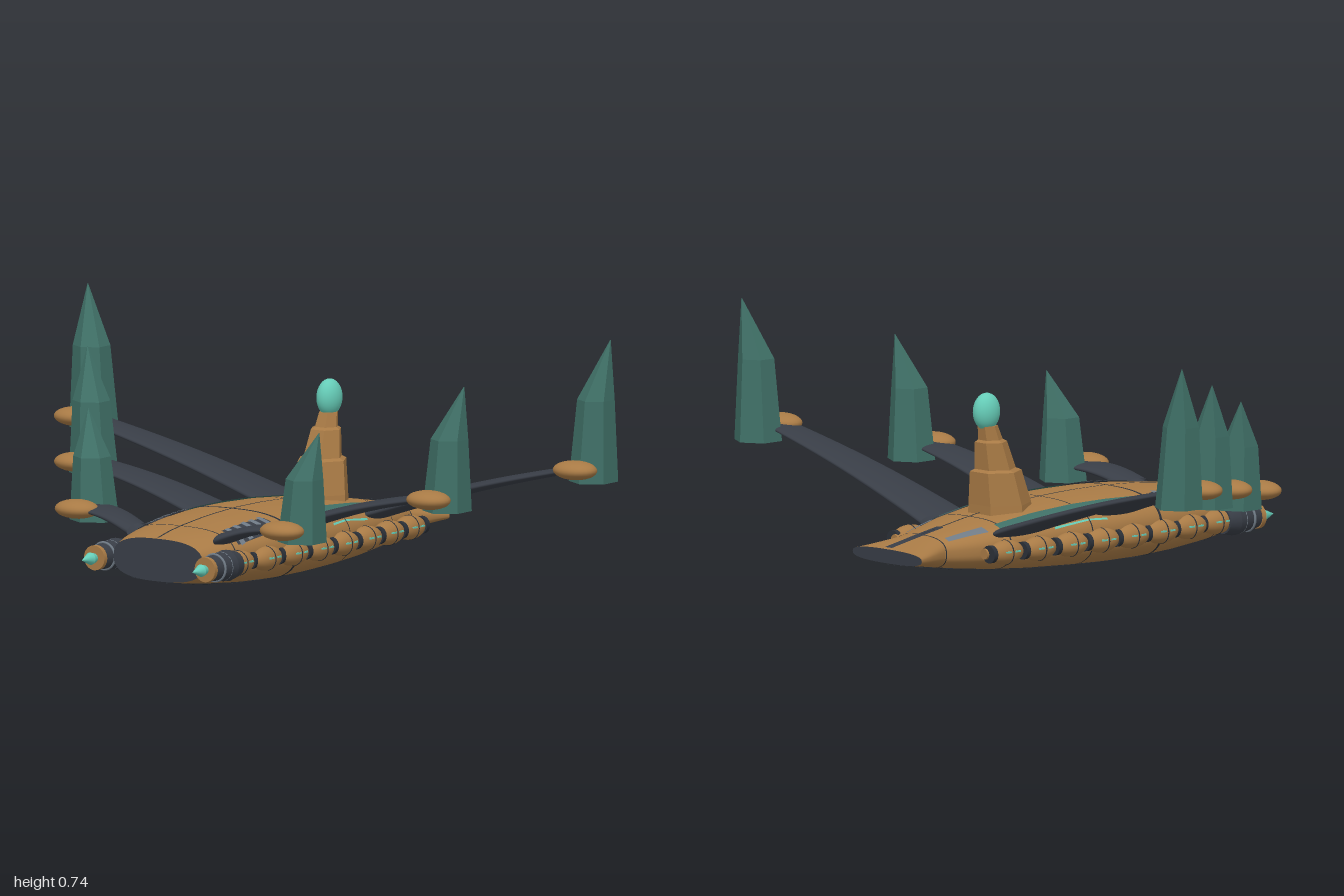
import * as THREE from 'three';
import { mergeVertices } from 'three/addons/utils/BufferGeometryUtils.js';

const TAU = Math.PI * 2;
const lerp = THREE.MathUtils.lerp;

// Hull stations: z, half width, bottom, top
const STATIONS = [
  [0.595, 0.165, 0.036, 0.166], [0.54, 0.185, 0.027, 0.178], [0.475, 0.2, 0.019, 0.188],
  [0.34, 0.222, 0.007, 0.202], [0.2, 0.236, 0.001, 0.209], [0.06, 0.238, 0.001, 0.209],
  [-0.07, 0.233, 0.005, 0.204], [-0.22, 0.212, 0.011, 0.192], [-0.36, 0.183, 0.021, 0.173],
  [-0.47, 0.146, 0.033, 0.154], [-0.56, 0.108, 0.045, 0.138], [-0.7, 0.152, 0.068, 0.111],
];
const POWER = 2.7;

function station(z) {
  let i = 0;
  while (i < STATIONS.length - 2 && z < STATIONS[i + 1][0]) i++;
  const a = STATIONS[i], b = STATIONS[i + 1];
  const t = (z - a[0]) / (b[0] - a[0]);
  const [w, lo, hi] = [1, 2, 3].map(k => lerp(a[k], b[k], t));
  return { w, c: (lo + hi) / 2, h: (hi - lo) / 2 };
}

function hullPoint(z, a, off = 0) {
  const { w, c, h } = station(z);
  const p = v => Math.sign(v) * Math.abs(v) ** (2 / POWER);
  return [(w + off) * p(Math.cos(a)), c + (h + off) * p(Math.sin(a)), z];
}

function hullHeight(x, z, sign) {
  const { w, c, h } = station(z);
  return c + sign * (h * (1 - Math.min(1, Math.abs(x) / w) ** POWER) ** (1 / POWER) + 0.004);
}

// Surface from a rule f(u, v), both 0..1
function grid(f, nu, nv, flat = false) {
  const pos = [], idx = [];
  for (let i = 0; i <= nu; i++) for (let j = 0; j <= nv; j++) pos.push(...f(i / nu, j / nv));
  for (let i = 0; i < nu; i++) for (let j = 0; j < nv; j++) {
    const a = i * (nv + 1) + j, b = a + nv + 1;
    idx.push(a, b, a + 1, b, b + 1, a + 1);
  }
  let g = new THREE.BufferGeometry();
  g.setAttribute('position', new THREE.Float32BufferAttribute(pos, 3));
  g.setIndex(idx);
  g = flat ? g.toNonIndexed() : mergeVertices(g, 1e-5);
  g.computeVertexNormals();
  return g;
}

// Six-sided faceted loft through rings [x, y, z, radius]
function hexLoft(rings, phase) {
  return grid((u, v) => {
    const [x, y, z, r] = rings[Math.round(u * (rings.length - 1))];
    const a = phase + v * TAU;
    return [x - r * Math.sin(a), y, z + r * Math.cos(a)];
  }, rings.length - 1, 6, true);
}

// Thin strip lying on the hull between two x edges that vary along z
function strip(z0, z1, xa0, xb0, xa1 = xa0, xb1 = xb0, sign = 1) {
  return grid((u, v) => {
    const z = lerp(z0, z1, u), x = lerp(lerp(xa0, xa1, u), lerp(xb0, xb1, u), v);
    return [x, hullHeight(x, z, sign), z];
  }, 20, 4);
}

function mirrored(geo) {
  const g = geo.index ? geo.toNonIndexed() : geo.clone();
  g.scale(-1, 1, 1);
  for (const name of ['position', 'normal']) {
    const arr = g.attributes[name].array;
    for (let i = 0; i < arr.length; i += 9)
      for (let k = 0; k < 3; k++) [arr[i + 3 + k], arr[i + 6 + k]] = [arr[i + 6 + k], arr[i + 3 + k]];
  }
  return g;
}

const ellipsoid = (x, y, z, rx, ry, rz) =>
  new THREE.SphereGeometry(1, 24, 16).scale(rx, ry, rz).translate(x, y, z);
// Cylinder along z
const barrel = (x, y, zBack, zFront, rBack, rFront) =>
  new THREE.CylinderGeometry(rFront, rBack, zFront - zBack, 20)
    .rotateX(Math.PI / 2).translate(x, y, (zBack + zFront) / 2);

export function createModel() {
  const root = new THREE.Group();
  root.name = 'airship';
  const mat = (name, color, side = THREE.DoubleSide) => {
    const m = new THREE.MeshStandardMaterial({ color, side });
    m.name = name;
    return m;
  };
  const bronze = mat('bronze', 0xa87a45, THREE.FrontSide);
  const dark = mat('dark slate', 0x383d46);
  const seam = mat('seam', 0x2b3038);
  const green = mat('deep green', 0x3f6f66);
  const grey = mat('grey', 0x6f7a85);
  const glow = mat('turquoise', 0x66cdb8);

  const add = (name, geo, material) => {
    const m = new THREE.Mesh(geo, material);
    m.name = name;
    root.add(m);
  };
  const pair = (name, geo, material) => {
    add(name + 'Left', geo, material);
    add(name + 'Right', mirrored(geo), material);
  };

  // Hull, flared tail and flat ends
  const shell = (z0, z1, n) => grid((u, v) => hullPoint(lerp(z0, z1, u), v * TAU), n, 64);
  add('hull', shell(0.595, -0.56, 40), bronze);
  add('tail', shell(-0.56, -0.7, 4), bronze);
  for (const [name, z] of [['frontFace', 0.595], ['tailFace', -0.7]]) {
    const pts = Array.from({ length: 64 }, (_, i) => new THREE.Vector2(...hullPoint(z, i / 64 * TAU)));
    add(name, new THREE.ShapeGeometry(new THREE.Shape(pts)).translate(0, 0, z), dark);
  }

  // Panel seams
  for (const [z, w] of [[0.475, 0.002], [0.21, 0.005], [-0.07, 0.002], [-0.36, 0.002], [-0.56, 0.002]])
    add('ringSeam', grid((u, v) => hullPoint(z + w * (1 - 2 * u), v * TAU, 0.003), 1, 64), seam);
  add('topSeam', strip(0.595, -0.56, -0.003, 0.003), seam);
  add('keelSeam', strip(0.595, -0.7, -0.003, 0.003, -0.003, 0.003, -1), seam);
  pair('bellySeam', strip(0.59, -0.56, 0.098, 0.103, 0.058, 0.062, -1), seam);

  // Painted deck details
  add('tailStripe', strip(-0.48, -0.695, -0.015, 0.015), dark);
  pair('deckStripe', strip(0.18, -0.37, 0.155, 0.208, 0.118, 0.152), green);
  pair('rearWindow', strip(-0.41, -0.54, 0.105, 0.138, 0.082, 0.1), grey);
  pair('sideLight', strip(0.0, -0.2, 0.222, 0.226, 0.204, 0.208), glow);
  pair('vent', strip(0.45, 0.25, 0.13, 0.195, 0.14, 0.212), dark);
  for (let i = 0; i < 5; i++) {
    const z = 0.43 - i * 0.04;
    pair('ventBar', strip(z + 0.01, z - 0.01, 0.134, 0.2).translate(0, 0.003, 0), grey);
  }

  // Side pods with seams and lights
  const podX = z => 0.2 + 0.033 * (1 - (z / 0.5) ** 2);
  for (let i = 0; i < 8; i++) {
    const z = 0.466 - i * 0.125, x = podX(z);
    pair('pod', ellipsoid(x, 0.095, z, 0.037, 0.037, 0.066), bronze);
    pair('podSeam', new THREE.TorusGeometry(0.036, 0.0025, 6, 28).translate(x, 0.095, z), seam);
    pair('podCollar', barrel(x, 0.095, z - 0.07, z - 0.055, 0.027, 0.027), seam);
    for (const d of [-0.018, 0.018])
      pair('podLight', new THREE.BoxGeometry(0.005, 0.005, 0.02).translate(x + 0.035, 0.1, z + d), glow);
  }

  // Front thrusters and small tail nozzles
  pair('thrusterCollar', barrel(0.205, 0.095, 0.49, 0.53, 0.04, 0.048), dark);
  pair('thrusterBody', barrel(0.205, 0.095, 0.53, 0.625, 0.048, 0.035), dark);
  for (const z of [0.555, 0.59])
    pair('thrusterRing', new THREE.TorusGeometry(0.041, 0.004, 8, 24).translate(0.205, 0.095, z), grey);
  pair('thrusterRim', barrel(0.205, 0.095, 0.625, 0.64, 0.038, 0.038), bronze);
  pair('thrusterCone', barrel(0.205, 0.095, 0.64, 0.66, 0.014, 0.019), glow);
  pair('thrusterTip', barrel(0.205, 0.095, 0.66, 0.702, 0.019, 0.001), glow);
  pair('tailNozzle', barrel(0.197, 0.095, -0.485, -0.4, 0.016, 0.03), bronze);

  // Arms, joints and spires; chords are [centre z, half length]
  const arms = [
    { from: [0.16, 0.165], to: [0.37, 0.21], chord0: [0.48, 0.055], chord1: [0.435, 0.072],
      joint: [0.38, 0.21, 0.485], base: [0.385, 0.165, 0.388], top: 0.497 },
    { from: [0.17, 0.165], to: [0.65, 0.285], chord0: [0.063, 0.103], chord1: [0.065, 0.06],
      joint: [0.653, 0.282, 0.108], base: [0.655, 0.238, 0.015], top: 0.616 },
    { from: [0.16, 0.145], to: [0.92, 0.352], chord0: [-0.31, 0.104], chord1: [-0.295, 0.052],
      joint: [0.925, 0.35, -0.27], base: [0.926, 0.305, -0.364], top: 0.736 },
  ];
  for (const { from, to, chord0, chord1, joint, base, top } of arms) {
    pair('arm', grid((u, v) => {
      const a = v * TAU, bow = 0.012 * Math.sin(u * Math.PI);
      return [
        lerp(from[0], to[0], u),
        lerp(from[1], to[1], u) + bow + lerp(0.02, 0.011, u) * Math.sin(a),
        lerp(chord0[0], chord1[0], u) + lerp(chord0[1], chord1[1], u) * Math.cos(a),
      ];
    }, 12, 24), dark);
    pair('armJoint', ellipsoid(...joint, 0.072, 0.029, 0.057), bronze);
    const [x, y, z] = base;
    pair('spire', hexLoft([
      [x, y, z, 0], [x, y, z, 0.075], [x + 0.009, lerp(y, top, 0.58), z, 0.057],
      [x + 0.043, top, z - 0.028, 0.001],
    ], 0), green);
  }

  // Stepped tower leaning back, with a glowing egg on top
  add('tower', hexLoft([
    [0, 0.17, -0.233, 0.1], [0, 0.205, -0.235, 0.097], [0, 0.305, -0.252, 0.08], [0, 0.312, -0.254, 0.064],
    [0, 0.395, -0.272, 0.05], [0, 0.402, -0.274, 0.038], [0, 0.445, -0.285, 0.031], [0, 0.445, -0.285, 0],
  ], Math.PI / 6), bronze);
  add('beacon', ellipsoid(0, 0.488, -0.29, 0.036, 0.057, 0.046), glow);

  return root;
}
